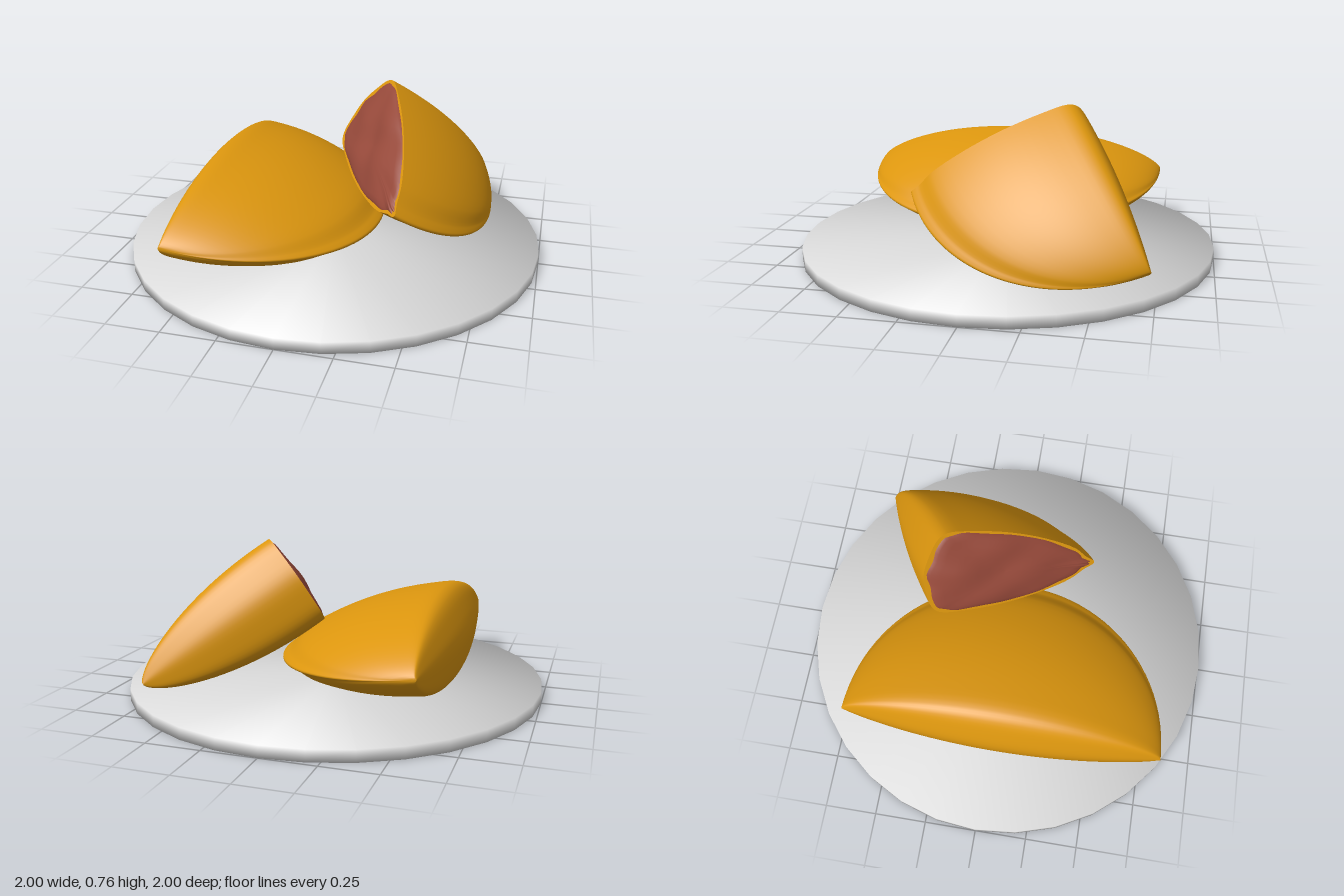
import * as THREE from 'three';

const crustMat = new THREE.MeshStandardMaterial({ color: 0xdc960e });
crustMat.name = 'golden crust';
const fillingMat = new THREE.MeshStandardMaterial({ color: 0x96493a });
fillingMat.name = 'red filling';
const plateMat = new THREE.MeshStandardMaterial({ color: 0xdadada });
plateMat.name = 'pale plate';

const HALF_LENGTH = 0.77;

// Half cross-section of the folded pastry: pinched seam, over the top, to the fold
const half = [
  [0.812, 0.006], [0.795, 0.018], [0.765, 0.034], [0.694, 0.088], [0.523, 0.155], [0.335, 0.2],
  [0.14, 0.22], [0.02, 0.217], [-0.025, 0.185], [-0.06, 0.1],
];
const outline = [...half, [-0.08, 0], ...half.map(([u, v]) => [u, -v]).reverse()];
const profile = new THREE.CatmullRomCurve3(
  outline.map(([u, v]) => new THREE.Vector3(u, v, 0)), true, 'centripetal',
).getPoints(84).slice(0, -1);

// Cross-section at t (-1 to 1 along the fold), thinning towards the tips
function section(t) {
  const k = Math.max(0, 1 - t * t);
  const reach = Math.sqrt(k), thick = 0.03 + 0.97 * Math.pow(k, 0.7);
  return profile.map((p) => new THREE.Vector3(
    p.x * (p.x > 0 ? 0.02 + 0.98 * reach : 0.1 + 0.9 * k),
    p.y * thick,
    t * HALF_LENGTH,
  ));
}

// Skin a row of closed rings
function loft(rings) {
  const n = rings[0].length, index = [];
  for (let i = 0; i < rings.length - 1; i++) {
    for (let j = 0; j < n; j++) {
      const a = i * n + j, b = i * n + (j + 1) % n;
      index.push(a, b, b + n, a, b + n, a + n);
    }
  }
  const geo = new THREE.BufferGeometry().setFromPoints(rings.flat());
  geo.setIndex(index);
  geo.computeVertexNormals();
  return geo;
}

function addMesh(parent, name, geo, mat) {
  const mesh = new THREE.Mesh(geo, mat);
  mesh.name = name;
  parent.add(mesh);
}

// Crust from one tip up to position end
function crust(end) {
  const rings = [], steps = 48, last = Math.asin(end);
  for (let i = 0; i <= steps; i++) {
    rings.push(section(Math.sin(-Math.PI / 2 + (last + Math.PI / 2) * i / steps)));
  }
  // close the blunt tips
  const close = (ring) => {
    const c = ring.reduce((s, p) => s.add(p), new THREE.Vector3()).divideScalar(ring.length);
    return ring.map(() => c.clone());
  };
  rings.unshift(close(rings[0]));
  if (end === 1) rings.push(close(rings[rings.length - 1]));
  return loft(rings);
}

export function createModel() {
  const model = new THREE.Group();
  model.name = 'pastryPlate';

  // Plate, with normals rolling softly over its rim
  const plateGeo = new THREE.CylinderGeometry(1, 1, 0.055, 32);
  const pos = plateGeo.attributes.position, normal = new THREE.Vector3();
  for (let i = 0; i < pos.count; i++) {
    normal.set(pos.getX(i), Math.sign(pos.getY(i)), pos.getZ(i)).normalize();
    plateGeo.attributes.normal.setXYZ(i, normal.x, normal.y, normal.z);
  }
  plateGeo.translate(0, 0.0275, 0);
  addMesh(model, 'plate', plateGeo, plateMat);

  // Whole half-moon pastry
  const whole = new THREE.Group();
  whole.name = 'wholePastry';
  addMesh(whole, 'wholeCrust', crust(1), crustMat);
  whole.position.set(-0.56, 0.29, 0.05);
  whole.rotation.z = -0.142;
  model.add(whole);

  // Cut pastry leaning on the whole one
  const cut = new THREE.Group();
  cut.name = 'cutPastry';
  const end = 0.075;
  addMesh(cut, 'cutCrust', crust(end), crustMat);

  // Uneven crust rim and bumpy filling on the cut face
  const edge = section(end);
  const centre = new THREE.Vector3(0.32, 0, end * HALF_LENGTH);
  const inset = (scale, lift) => edge.map((p, j) => {
    const a = j / edge.length * Math.PI * 2;
    const ragged = 1 + 0.012 * Math.sin(a * 11) + 0.008 * Math.sin(a * 17 + 1);
    const q = centre.clone().lerp(p, scale * ragged);
    q.z += lift * (1 + 0.35 * Math.sin(q.x * 17) * Math.cos(q.y * 21));
    return q;
  });
  const rim = inset(0.945, 0);
  addMesh(cut, 'cutRim', loft([edge, rim]), crustMat);
  const rings = [rim];
  for (const r of [0.9, 0.8, 0.65, 0.5, 0.35, 0.2, 0.08, 0]) {
    rings.push(inset(r, 0.028 * (1 - r ** 4)));
  }
  addMesh(cut, 'filling', loft(rings), fillingMat);

  // Axes: towards the seam, across the thickness, along the fold
  const u = new THREE.Vector3(0.355, -0.3, 0.885).normalize();
  const w = u.clone().cross(new THREE.Vector3(0.632, 0.773, 0.07)).normalize();
  const v = w.clone().cross(u);
  cut.quaternion.setFromRotationMatrix(new THREE.Matrix4().makeBasis(u, v, w));
  cut.position.set(0.117, 0.562, -0.366);
  model.add(cut);

  return model;
}
